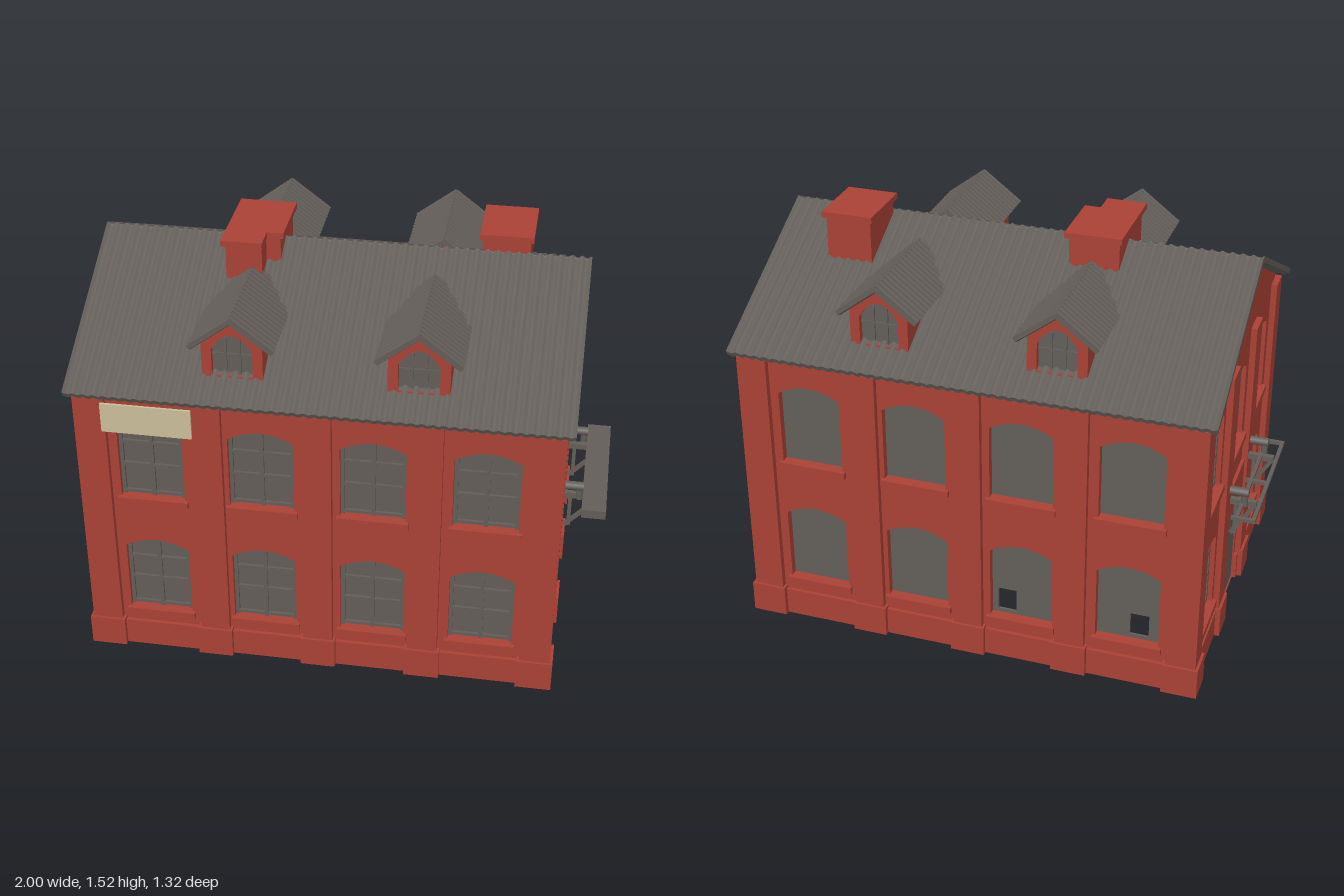
import * as THREE from 'three';

const mat = (name, color, side = THREE.FrontSide) => {
  const m = new THREE.MeshStandardMaterial({ color, side });
  m.name = name;
  return m;
};

export function createModel() {
  const brick = mat('brick red', 0xa94136);
  const slate = mat('slate grey', 0x625d58);
  const cream = mat('sign cream', 0xcabd98);
  const brown = mat('lining brown', 0x70492f);

  const model = new THREE.Group();
  model.name = 'brickBuilding';
  const house = new THREE.Group();
  house.name = 'house';
  house.position.x = -0.02;
  model.add(house);

  const add = (parent, name, geo, material) => {
    const m = new THREE.Mesh(geo, material);
    m.name = name;
    parent.add(m);
    return m;
  };
  // box given by its limits
  const box = (parent, name, material, x0, x1, y0, y1, z0, z1) =>
    add(parent, name, new THREE.BoxGeometry(x1 - x0, y1 - y0, z1 - z0)
      .translate((x0 + x1) / 2, (y0 + y1) / 2, (z0 + z1) / 2), material);
  // square bar between two points
  const bar = (parent, name, a, b, t, material = slate) => {
    const A = new THREE.Vector3(...a), B = new THREE.Vector3(...b);
    const m = add(parent, name, new THREE.BoxGeometry(t, t, A.distanceTo(B)), material);
    m.position.copy(A).lerp(B, 0.5);
    m.lookAt(B);
    return m;
  };
  const extrude = (shape, depth, z) =>
    new THREE.ExtrudeGeometry(shape, { depth, bevelEnabled: false, curveSegments: 8 }).translate(0, 0, z);
  const poly = pts => new THREE.Shape(pts.map(p => new THREE.Vector2(...p)));

  // arched opening outline
  const arch = (x, w, y0, y1, rise, Type = THREE.Shape) => {
    const s = new Type();
    s.moveTo(x - w / 2, y0);
    s.lineTo(x + w / 2, y0);
    s.lineTo(x + w / 2, y1 - rise);
    s.quadraticCurveTo(x, y1 + rise, x - w / 2, y1 - rise);
    s.lineTo(x - w / 2, y0);
    return s;
  };

  // one side of the building, facing +z before it is turned
  const facade = (name, o) => {
    const g = new THREE.Group();
    g.name = name;
    g.rotation.y = o.turn;
    house.add(g);
    const { half, dist: d, w } = o;
    const outline = [[-half, 0], [half, 0], [half, 1.115], [-half, 1.115]];
    if (o.gable) outline.splice(3, 0, [0, 1.435]);
    const wall = poly(outline);

    for (const y0 of [0.17, 0.68]) for (const x of o.windows) {
      if (o.door && x === 0 && y0 < 0.5) continue;
      const y1 = y0 + 0.32;
      wall.holes.push(arch(x, w, y0, y1, 0.035, THREE.Path));
      const pane = arch(x, w + 0.01, y0 - 0.005, y1 + 0.005, 0.035);
      // missing glass in the two broken windows
      const gap = y0 < 0.5 && o.broken && o.broken[x];
      if (gap) {
        const gx = x + gap;
        pane.holes.push(new THREE.Path([[gx - 0.035, 0.185], [gx + 0.035, 0.185], [gx + 0.035, 0.275],
          [gx - 0.035, 0.275]].map(p => new THREE.Vector2(...p))));
      }
      add(g, 'windowPane', extrude(pane, 0.008, d - 0.036), slate);
      if (o.bars) {
        const z0 = d - 0.03, z1 = d - 0.018;
        box(g, 'glazingBar', slate, x - 0.007, x + 0.007, y0, y1 - 0.004, z0, z1);
        for (const y of [y0 + 0.012, y0 + 0.13, y0 + 0.225])
          box(g, 'glazingBar', slate, x - w / 2, x + w / 2, y - 0.006, y + 0.006, z0, z1);
        for (const s of [-1, 1])
          box(g, 'windowFrame', slate, x + s * (w / 2 - 0.007) - 0.007, x + s * (w / 2 - 0.007) + 0.007,
            y0, y1 - 0.035, z0, z1);
      }
      box(g, 'windowSill', brick, x - w / 2 - 0.012, x + w / 2 + 0.012, y0 - 0.027, y0, d - 0.03, d + 0.016);
    }
    if (o.door) {
      wall.holes.push(new THREE.Path([[-0.13, 0.005], [0.13, 0.005], [0.13, 0.41], [-0.13, 0.41]]
        .map(p => new THREE.Vector2(...p))));
      box(g, 'door', slate, -0.132, 0.132, 0.002, 0.412, d - 0.03, d - 0.005);
      box(g, 'doorLintel', brick, -0.15, 0.15, 0.41, 0.54, d - 0.01, d + 0.012);
    }
    add(g, 'wall', extrude(wall, 0.05, d - 0.05), brick);
    box(g, 'innerLining', brown, -half + 0.05, half - 0.05, 0.51, 0.65, d - 0.054, d - 0.05);

    // plinth, pilasters and their feet
    for (const [a, b] of o.door ? [[-half, -0.13], [0.13, half]] : [[-half, half]])
      box(g, 'plinth', brick, a, b, 0, 0.108, d - 0.05, d + 0.014);
    for (const [a, b] of o.pilasters) {
      box(g, 'pilaster', brick, a, b, 0.1, 1.1, d - 0.02, d + 0.023);
      const inner = o.door && Math.abs(a + b) < 0.6;
      const pa = inner && a > 0 ? a - 0.003 : a - 0.01, pb = inner && a < 0 ? b + 0.003 : b + 0.01;
      box(g, 'pilasterFoot', brick, pa, pb, 0, 0.12, d - 0.03, d + 0.033);
    }
    return g;
  };

  const long = { half: 0.84, dist: 0.62, w: 0.235, windows: [-0.6, -0.2, 0.2, 0.6],
    pilasters: [[-0.862, -0.75], [-0.445, -0.335], [-0.055, 0.055], [0.335, 0.445], [0.75, 0.862]] };
  const end = { half: 0.62, dist: 0.84, w: 0.215, windows: [-0.39, 0, 0.39], gable: true, door: true, bars: true,
    pilasters: [[-0.643, -0.545], [-0.255, -0.15], [0.15, 0.255], [0.545, 0.643]] };
  const front = facade('frontSide', { ...long, turn: 0, bars: true });
  facade('backSide', { ...long, turn: Math.PI, broken: { 0.2: -0.06, 0.6: 0.04 } });
  facade('leftSide', { ...end, turn: Math.PI / 2 });
  facade('rightSide', { ...end, turn: -Math.PI / 2 });
  box(front, 'signBoard', cream, -0.76, -0.435, 0.975, 1.09, 0.647, 0.656);

  // corrugated gable roof, ridge along x at the origin
  const gableRoof = (name, len, halfSpan, rise, ribs, thick, amp) => {
    const g = new THREE.Group();
    g.name = name;
    const slope = Math.hypot(halfSpan, rise);
    const geo = new THREE.BoxGeometry(len, thick, slope, ribs * 4, 1, 1);
    const p = geo.attributes.position;
    for (let i = 0; i < p.count; i++)
      p.setY(i, p.getY(i) + amp * Math.cos((p.getX(i) / len + 0.5) * ribs * 2 * Math.PI));
    geo.translate(0, -thick / 2, slope / 2).rotateX(Math.atan2(rise, halfSpan));
    geo.computeVertexNormals();
    add(g, 'roofSlope', geo, slate);
    add(g, 'roofSlope', geo, slate).rotation.y = Math.PI;
    return g;
  };
  const roof = gableRoof('mainRoof', 1.78, 0.66, 0.335, 48, 0.02, 0.005);
  roof.position.y = 1.458;
  house.add(roof);

  // four dormers
  for (const turn of [0, Math.PI]) for (const x of [-0.325, 0.325]) {
    const g = new THREE.Group();
    g.name = 'dormer';
    g.position.x = x + 0.0;
    const side = new THREE.Group();
    side.name = turn ? 'backDormer' : 'frontDormer';
    side.rotation.y = turn;
    // keep the pairs lined up front to back
    side.position.x = 0.02;
    side.add(g);
    house.add(side);
    const face = () => poly([[-0.108, 1.165], [0.108, 1.165], [0.108, 1.315], [0, 1.396], [-0.108, 1.315]]);
    const gable = face();
    gable.holes.push(arch(0, 0.145, 1.18, 1.345, 0.06, THREE.Path));
    add(g, 'dormerFace', extrude(gable, 0.03, 0.52), brick);
    add(g, 'dormerBody', extrude(face(), 0.36, 0.16), brick);
    add(g, 'dormerWindow', extrude(arch(0, 0.15, 1.178, 1.348, 0.06), 0.008, 0.521), slate);
    for (const bx of [-0.025, 0.025])
      box(g, 'dormerBar', slate, bx - 0.004, bx + 0.004, 1.18, 1.325, 0.525, 0.536);
    box(g, 'dormerBar', slate, -0.072, 0.072, 1.256, 1.264, 0.525, 0.536);
    const top = gableRoof('dormerRoof', 0.44, 0.152, 0.116, 16, 0.018, 0.003);
    top.rotation.y = Math.PI / 2;
    top.position.set(0, 1.418, 0.355);
    g.add(top);
  }

  // chimneys with flat caps; plan points are x, z
  const chimney = (cx, cz, plan) => {
    const g = new THREE.Group();
    g.name = 'chimney';
    g.position.set(cx, 0, cz);
    model.add(g);
    const prism = (k, y0, y1) => extrude(poly(plan.map(([x, z]) => [x * k, -z * k])), y1 - y0, 0)
      .rotateX(-Math.PI / 2).translate(0, y0, 0);
    add(g, 'chimneyStack', prism(0.88, 1.25, 1.5), brick);
    add(g, 'chimneyCap', prism(1, 1.5, 1.522), brick);
  };
  chimney(-0.33, 0.025, [[-0.105, 0.175], [0.045, 0.175], [0.045, 0.085], [0.105, 0.085],
    [0.105, -0.175], [-0.105, -0.175]]);
  chimney(0.565, -0.12, [[-0.097, 0.125], [0.097, 0.125], [0.097, -0.125], [-0.097, -0.125]]);

  // canopies over the end doors: covered on the left, bare frame on the right
  for (const s of [1, -1]) {
    const g = new THREE.Group();
    g.name = s > 0 ? 'leftCanopy' : 'rightCanopy';
    model.add(g);
    const wall = s > 0 ? 0.83 : 0.87;
    if (s > 0) box(g, 'canopyDeck', slate, 0.91, 1, 0.537, 0.572, -0.29, 0.295);
    else {
      for (const x of [-0.992, -0.93]) bar(g, 'canopyRail', [x, 0.555, -0.295], [x, 0.555, 0.295], 0.014);
      for (const z of [-0.288, -0.02, 0.288]) bar(g, 'canopyCrossbar', [-0.998, 0.555, z], [-0.91, 0.555, z], 0.014);
    }
    for (const z of [-0.165, 0.17]) {
      bar(g, 'canopyJoist', [s * wall, 0.55, z], [s * 0.98, 0.55, z], 0.022);
      bar(g, 'canopyBrace', [s * (wall + 0.02), 0.41, z], [s * 0.975, 0.545, z], 0.014);
      bar(g, 'canopyWallPost', [s * (wall + 0.035), 0.41, z], [s * (wall + 0.035), 0.55, z], 0.014);
      // wall lamp above the canopy
      const lz = z * 1.13;
      add(g, 'lampArm', new THREE.CylinderGeometry(0.017, 0.017, 0.075, 10).rotateZ(Math.PI / 2)
        .translate(s * (wall + 0.045), 0.606, lz), slate);
      add(g, 'lampStem', new THREE.CylinderGeometry(0.013, 0.013, 0.06, 10)
        .translate(s * (wall + 0.068), 0.58, lz), slate);
    }
  }
  return model;
}
